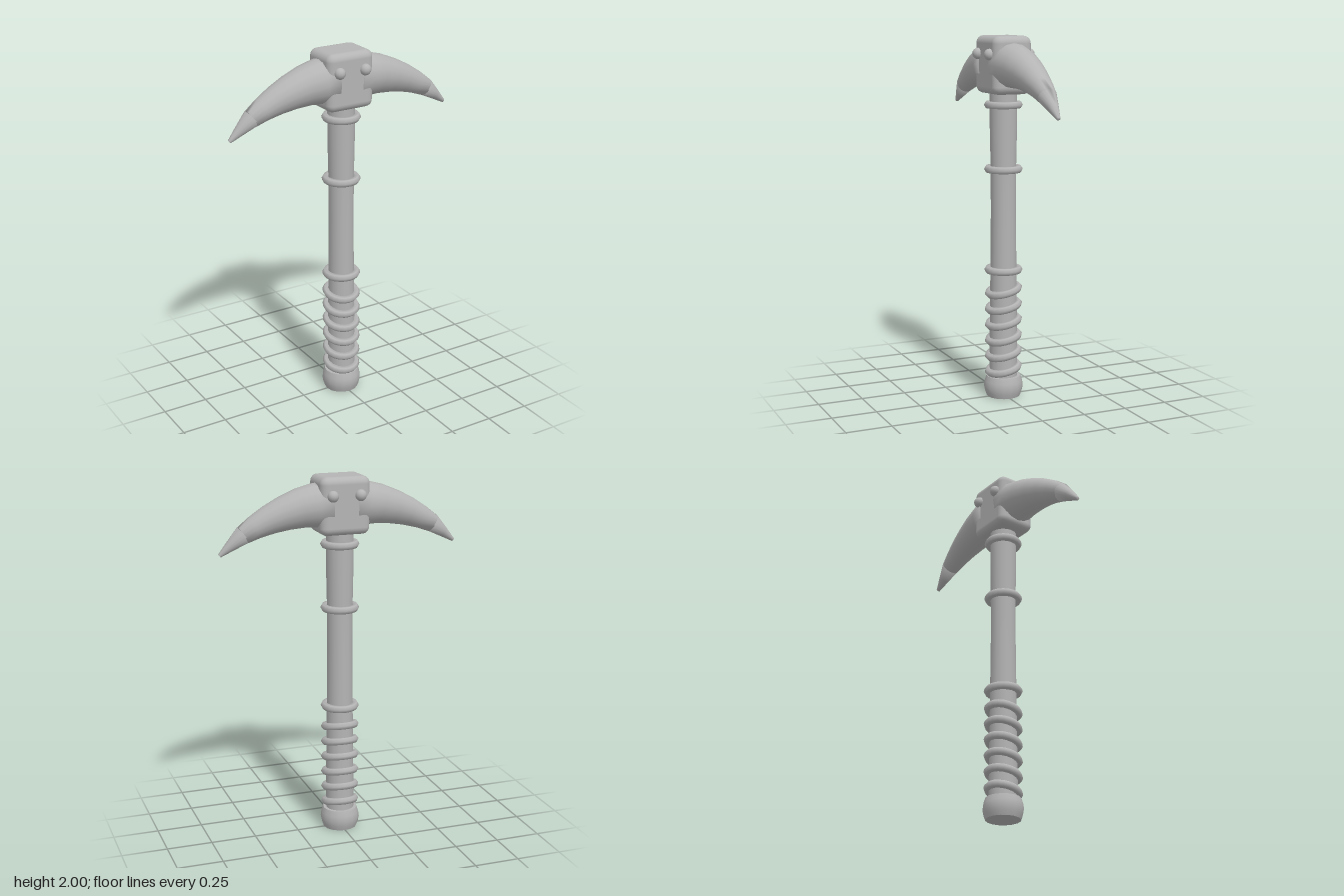
import * as THREE from 'three';
import { RoundedBoxGeometry } from 'three/addons/geometries/RoundedBoxGeometry.js';

const V2 = (x, y) => new THREE.Vector2(x, y);

// Round horn swept along a curve in the xy plane; stations are [x, y, radius]
function hornGeometry(stations, sides = 16) {
  const pos = [], idx = [];
  stations.forEach(([x, y, r], i) => {
    const a = stations[Math.max(i - 1, 0)];
    const b = stations[Math.min(i + 1, stations.length - 1)];
    const len = Math.hypot(b[0] - a[0], b[1] - a[1]);
    const nx = -(b[1] - a[1]) / len, ny = (b[0] - a[0]) / len;
    for (let j = 0; j < sides; j++) {
      const t = (j / sides) * Math.PI * 2;
      pos.push(x + nx * r * Math.cos(t), y + ny * r * Math.cos(t), r * Math.sin(t));
    }
  });
  const n = stations.length;
  for (let i = 0; i < n - 1; i++) {
    for (let j = 0; j < sides; j++) {
      const k = (j + 1) % sides;
      const a = i * sides + j, b = i * sides + k, c = a + sides, d = b + sides;
      idx.push(a, b, c, b, d, c);
    }
  }
  // end caps
  for (let j = 1; j < sides - 1; j++) {
    const e = (n - 1) * sides;
    idx.push(0, j + 1, j, e, e + j, e + j + 1);
  }
  const g = new THREE.BufferGeometry();
  g.setAttribute('position', new THREE.Float32BufferAttribute(pos, 3));
  g.setIndex(idx);
  g.computeVertexNormals();
  return g;
}

export function createModel() {
  const model = new THREE.Group();
  const grey = new THREE.MeshStandardMaterial({ color: 0xb4b4b4 });
  grey.name = 'grey';

  const add = (name, geometry, x = 0, y = 0, z = 0) => {
    const mesh = new THREE.Mesh(geometry, grey);
    mesh.name = name;
    mesh.position.set(x, y, z);
    model.add(mesh);
    return mesh;
  };

  // Shaft, slightly slimmer in the middle
  add('shaft', new THREE.LatheGeometry([
    V2(0.078, 0.08), V2(0.076, 0.4), V2(0.072, 0.72), V2(0.069, 1.05),
    V2(0.07, 1.3), V2(0.074, 1.5), V2(0.075, 1.72),
  ], 16));

  // Rounded pommel with flat ends
  add('pommelSide', new THREE.LatheGeometry([
    V2(0.094, 0), V2(0.103, 0.025), V2(0.109, 0.055), V2(0.105, 0.085), V2(0.095, 0.115),
  ], 16));
  add('pommelBottom', new THREE.CircleGeometry(0.094, 16)).rotation.x = Math.PI / 2;
  const pommelTop = add('pommelTop', new THREE.CircleGeometry(0.095, 16), 0, 0.115);
  pommelTop.rotation.x = -Math.PI / 2;

  // Level collars
  const ring = new THREE.TorusGeometry(0.085, 0.021, 6, 20);
  ring.rotateX(Math.PI / 2);
  for (const y of [1.63, 1.28, 0.72]) add('collar', ring, 0, y);

  // Tilted grip bindings, lower at the front
  for (let i = 0; i < 6; i++) {
    add('gripBinding', ring, 0, 0.155 + i * 0.0895).rotation.x = 0.23;
  }

  // Head block
  add('headBlock', new RoundedBoxGeometry(0.276, 0.31, 0.224, 3, 0.04), 0, 1.845);

  // Curved horns with separate straight points
  const horn = hornGeometry([
    [0.07, 1.846, 0.124], [0.14, 1.843, 0.119], [0.22, 1.833, 0.107],
    [0.31, 1.81, 0.092], [0.39, 1.782, 0.078], [0.47, 1.746, 0.063], [0.535, 1.709, 0.05],
  ]);
  const point = hornGeometry([[0.532, 1.711, 0.051], [0.6, 1.658, 0.03], [0.662, 1.608, 0.01]]);
  for (const side of [1, -1]) {
    const turn = side > 0 ? 0 : Math.PI;
    add('horn', horn).rotation.y = turn;
    add('hornPoint', point).rotation.y = turn;
  }

  // Rivets on front and back
  const rivet = new THREE.SphereGeometry(0.031, 12, 8);
  for (const x of [-0.077, 0.077]) {
    for (const z of [-0.115, 0.115]) add('rivet', rivet, x, 1.903, z);
  }
  return model;
}
